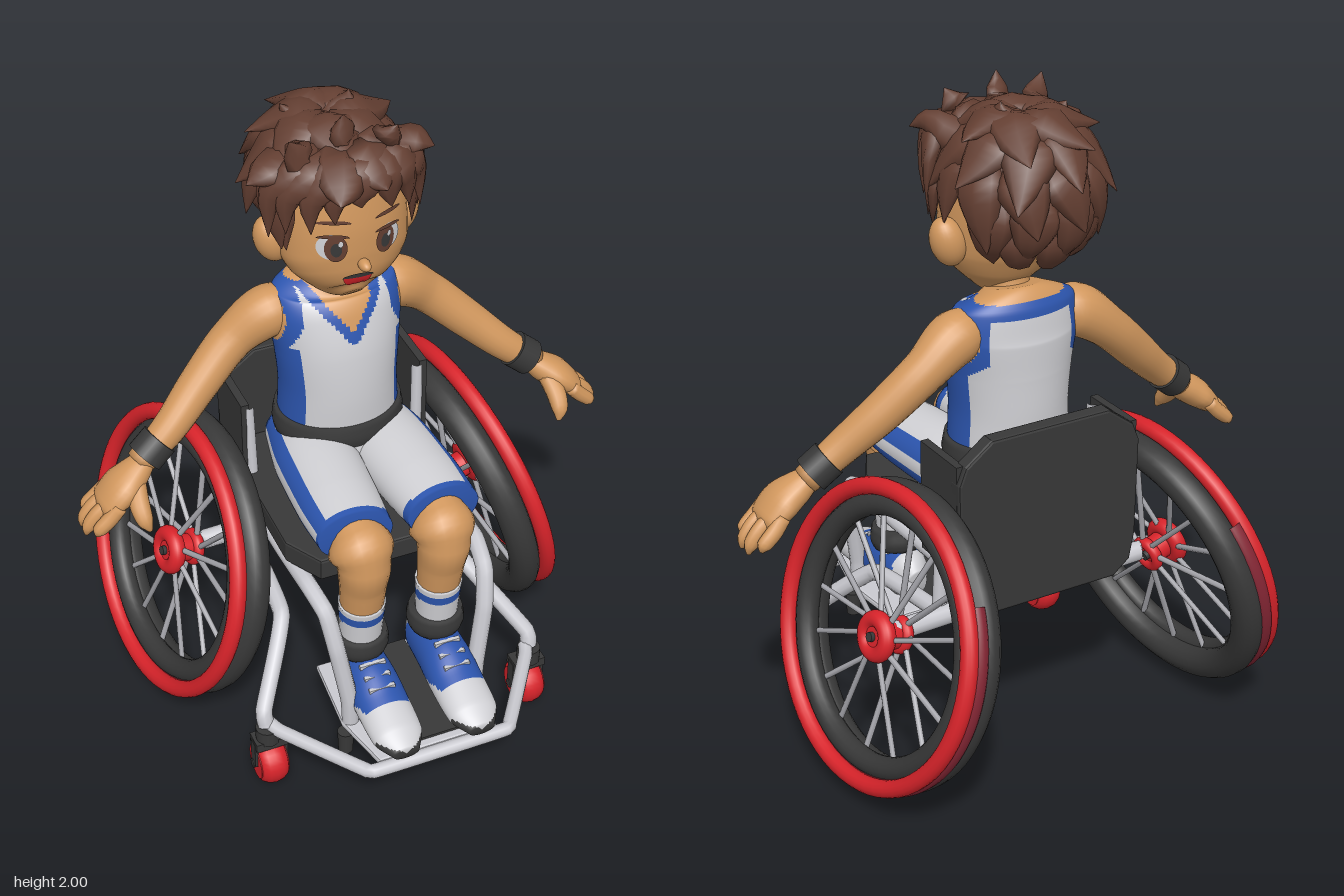
import * as THREE from 'three';

const mat = (name, color) => Object.assign(new THREE.MeshStandardMaterial({ color }), { name });
const V = (x, y, z) => new THREE.Vector3(x, y, z);

export function createModel() {
  const M = {
    skin: mat('skin', 0xd2985e), hair: mat('hair brown', 0x643f32), white: mat('cloth white', 0xd0d0d4),
    blue: mat('trim blue', 0x2c55ae), black: mat('black', 0x383838), red: mat('red', 0xd8232a),
    silver: mat('frame silver', 0xcacad0), spoke: mat('spoke grey', 0xa6a6ac), darkRed: mat('worn red', 0x842634),
  };
  const root = new THREE.Group();
  const add = (name, geo, m, parent = root) => {
    const mesh = new THREE.Mesh(geo, m);
    mesh.name = name;
    parent.add(mesh);
    return mesh;
  };

  // Skin elliptical sections [x, y, z, halfWidth, halfHeight] along a smooth path.
  // paint(point, angle) picks which material of an array each face gets.
  function loft(sec, { ref = V(0, 0, 1), rings = 20, sides = 20, paint, floor = -1 } = {}) {
    const path = new THREE.CatmullRomCurve3(sec.map(s => V(s[0], s[1], s[2])));
    const size = new THREE.CatmullRomCurve3(sec.map(s => V(s[3], s[4] ?? s[3], 0)));
    const pts = [];
    for (let i = 0; i <= rings; i++) {
      const c = path.getPoint(i / rings), t = path.getTangent(i / rings), r = size.getPoint(i / rings);
      const side = t.clone().cross(ref).normalize(), up = side.clone().cross(t);
      for (let j = 0; j < sides; j++) {
        const a = j / sides * Math.PI * 2;
        const p = c.clone().addScaledVector(side, Math.cos(a) * Math.max(r.x, 0)).addScaledVector(up, Math.sin(a) * Math.max(r.y, 0));
        p.y = Math.max(p.y, floor);
        pts.push(p);
      }
    }
    const first = pts.push(path.getPoint(0)) - 1, last = pts.push(path.getPoint(1)) - 1;
    const lists = [[], [], []];
    const face = (j, a, b, c, d) => {
      const mid = pts[b].clone().add(pts[c]).multiplyScalar(.5);
      const list = lists[paint ? paint(mid, (j + .5) / sides * Math.PI * 2) : 0];
      list.push(a, b, c);
      if (d !== undefined) list.push(c, b, d);
    };
    for (let j = 0; j < sides; j++) {
      const k = (j + 1) % sides, e = rings * sides;
      for (let i = 0; i < rings; i++) face(j, i * sides + j, (i + 1) * sides + j, i * sides + k, (i + 1) * sides + k);
      face(j, first, j, k);
      face(j, last, e + k, e + j);
    }
    const g = new THREE.BufferGeometry().setFromPoints(pts);
    g.setIndex(lists.flat());
    if (paint) {
      let start = 0;
      lists.forEach((l, i) => { if (l.length) g.addGroup(start, l.length, i); start += l.length; });
    }
    g.computeVertexNormals();
    return g;
  }
  const tube = (name, pts, r, m = M.silver) => add(name, new THREE.TubeGeometry(
    new THREE.CatmullRomCurve3(pts.map(p => V(...p)), false, 'catmullrom', 0.2), 10 * pts.length, r, 10), m);
  const ball = (name, x, y, z, a, b, c, m) => {
    const o = add(name, new THREE.SphereGeometry(1, 24, 16), m);
    o.position.set(x, y, z);
    o.scale.set(a, b, c);
    return o;
  };
  const box = (name, w, h, d, x, y, z, m) => add(name, new THREE.BoxGeometry(w, h, d).translate(x, y, z), m);

  // Jersey with side panels, armholes and V neck
  const cloth = [M.white, M.blue, M.skin];
  add('jersey', loft([[0, .84, -.12, .18, .15], [0, .95, -.12, .183, .152], [0, 1.07, -.12, .178, .155], [0, 1.2, -.125, .188, .15],
    [0, 1.31, -.14, .2, .135], [0, 1.385, -.15, .185, .108], [0, 1.43, -.14, .08, .075]], {
    rings: 110, sides: 120, paint: (p, a) => {
      const x = Math.abs(p.x), v = p.z > -.13 ? p.y - 1.29 - 1.25 * x : p.y - 1.412;
      if (v > 0) return 2;
      if (v > -.042) return 1;
      const d = Math.hypot(p.y - 1.31, p.z + .15);
      if (x > .13 && d < .11) return d < .075 ? 2 : 1;
      return Math.abs(Math.cos(a)) > (Math.sin(a) > 0 ? .77 : .92) && p.y < 1.24 ? 1 : 0;
    },
  }), cloth);
  add('belt', loft([[0, .9, -.12, .192, .162], [0, .935, -.12, .199, .169], [0, .98, -.12, .192, .162]], { rings: 6, sides: 40 }), M.black);
  add('shortsSeat', loft([[0, .74, -.12, .2, .14], [0, .84, -.11, .215, .16], [0, .93, -.11, .185, .15]], { sides: 32 }), M.white);

  // Legs, arms and their clothes
  for (const s of [-1, 1]) {
    add('shortsLeg', loft([[s * .1, .84, -.2, .1, .09], [s * .115, .85, 0, .125, .1], [s * .13, .85, .2, .122, .092], [s * .137, .85, .34, .112, .078]], {
      ref: V(0, 1, 0), rings: 50, sides: 48, paint: (p, a) => {
        const out = -s * Math.cos(a), h = Math.sin(a);
        return p.z > .315 || (out > 0 && ((h > .28 && h < .75) || (h < -.1 && h > -.5))) ? 1 : 0;
      },
    }), cloth);
    add('leg', loft([[s * .13, .83, .2, .075], [s * .128, .825, .32, .08], [s * .125, .775, .368, .08], [s * .123, .68, .36, .07], [s * .122, .56, .345, .062]],
      { ref: V(1, 0, 0), rings: 28 }), M.skin);
    add('sock', loft([[s * .122, .33, .33, .062], [s * .122, .45, .34, .062], [s * .122, .605, .35, .07]],
      { rings: 44, sides: 24, paint: p => (p.y > .55 && p.y < .58 ? 1 : 0) }), cloth);
    add('ankleStrap', loft([[s * .122, .415, .33, .078], [s * .122, .445, .333, .087], [s * .122, .485, .335, .08]], { rings: 6 }), M.black);
    add('shoe', loft([[s * .12, .32, .22, .035, .05], [s * .12, .335, .28, .068, .085], [s * .12, .335, .4, .076, .085],
      [s * .12, .312, .5, .08, .065], [s * .12, .292, .61, .076, .045], [s * .12, .28, .675, .04, .022]], {
      ref: V(0, 1, 0), rings: 50, sides: 48, floor: .252,
      paint: p => (p.y < .272 || (p.z > .62 && p.y < .3) ? 2 : p.z < .54 && p.z > .27 && p.y > .305 + Math.max(0, p.z - .42) * .3 ? 1 : 0),
    }), [M.white, M.blue, M.black]);
    for (let i = 0; i < 3; i++)
      box('shoelace', .08, .012, .012, s * .12, .411 - i * .017, .425 + i * .035, M.white);

    add('arm', loft([[s * .13, 1.33, -.15, .06], [s * .2, 1.315, -.16, .077], [s * .3, 1.245, -.17, .063], [s * .42, 1.135, -.14, .058],
      [s * .53, 1.035, -.1, .05], [s * .63, .955, -.08, .042]], { rings: 30 }), M.skin);
    const band = add('wristband', new THREE.CylinderGeometry(.056, .056, .068, 24), M.black);
    band.position.set(s * .588, .99, -.087);
    band.quaternion.setFromUnitVectors(V(0, 1, 0), V(s * .77, -.62, .15).normalize());
    add('palm', loft([[s * .61, .965, -.08, .03, .035], [s * .65, .935, -.07, .043, .055], [s * .7, .9, -.06, .045, .075], [s * .745, .86, -.06, .034, .07], [s * .765, .84, -.06, .01, .04]]), M.skin);
    for (let i = 0; i < 4; i++) {
      const z = -.117 + i * .039, k = i === 0 || i === 3 ? .02 : 0;
      add('finger', loft([[s * .72, .88, z, .022], [s * (.772 - k), .845, z * 1.06, .023], [s * (.805 - k), .805 + k * .5, z * 1.08, .021], [s * (.815 - k), .777 + k, z * 1.08, .006]],
        { rings: 10, sides: 10 }), M.skin);
    }
    add('thumb', loft([[s * .655, .92, -.04, .028], [s * .665, .88, .01, .03], [s * .662, .845, .045, .025], [s * .652, .815, .06, .006]],
      { ref: V(1, 0, 0), rings: 10, sides: 12 }), M.skin);
    ball('ear', s * .195, 1.585, -.12, .05, .074, .05, M.skin).rotation.z = -s * .3;
  }

  // Head and face
  add('neck', loft([[0, 1.36, -.14, .075], [0, 1.42, -.115, .062], [0, 1.5, -.1, .065]]), M.skin);
  const head = add('head', loft([[0, 1.42, -.01, .03, .035], [0, 1.442, -.03, .09, .088], [0, 1.5, -.055, .158, .128], [0, 1.56, -.072, .186, .146],
    [0, 1.66, -.09, .186, .163], [0, 1.76, -.11, .172, .17], [0, 1.85, -.12, .1, .1]], { rings: 36, sides: 48 }), M.skin);
  ball('nose', 0, 1.567, .078, .017, .017, .028, M.skin);

  // Thin face details wrapped onto the head
  const ray = new THREE.Raycaster();
  head.updateMatrixWorld();
  const decal = (name, x, y, w, h, m, lift, t0 = 0, t1 = Math.PI * 2) => {
    const g = new THREE.RingGeometry(.001, 1, 28, 4, t0, t1).scale(w, h, 1).translate(x, y, 0), p = g.attributes.position;
    for (let i = 0; i < p.count; i++) {
      ray.set(V(p.getX(i), p.getY(i), 1), V(0, 0, -1));
      const hit = ray.intersectObject(head)[0];
      p.setZ(i, (hit ? hit.point.z : 0) + lift);
    }
    g.computeVertexNormals();
    add(name, g, m);
  };
  for (const s of [-1, 1]) {
    decal('eyeWhite', s * .083 - .005, 1.632, .038, .04, M.white, .003);
    decal('iris', s * .072 - .005, 1.628, .03, .042, M.hair, .005);
    decal('pupil', s * .072 - .005, 1.625, .015, .022, M.black, .007);
    decal('eyeGlint', s * .072 + .006, 1.645, .007, .009, M.white, .009);
    decal('eyelid', s * .079 - .005, 1.662, .042, .012, M.hair, .008, 0, Math.PI);
    decal('eyebrow', s * .08, 1.702, .045, .012, M.hair, .004, 0, Math.PI);
  }
  decal('mouth', -.012, 1.525, .042, .042, M.red, .004, Math.PI, Math.PI);
  decal('upperLip', -.012, 1.522, .045, .015, M.black, .006, 0, Math.PI);

  // Hair: a cap covered with layered pointed locks
  const C = V(-.015, 1.725, -.155), R = V(.188, .2, .2);
  ball('hairCap', C.x, C.y, C.z, R.x, R.y, R.z, M.hair);
  const onCap = (az, el, k) => V(Math.sin(az) * Math.cos(el), Math.sin(el), Math.cos(az) * Math.cos(el)).multiply(R).multiplyScalar(k).add(C);
  const lock = (pts, w, h) => {
    const r = [.5, 1, .68, .02], ref = pts[1].clone().sub(C).normalize();
    add('hairLock', loft(pts.map((p, i) => [p.x, p.y, p.z, w * r[i], h * r[i]]), { ref, rings: 10, sides: 8 }), M.hair);
  };
  const rad = Math.PI / 180;
  // [start elevation, tip elevation, count, width, first azimuth kept, twist, tip reach]
  [[86, 30, 7, .085, 0, 24, 1.4], [62, 4, 9, .082, 50, -15, 1.38], [34, -24, 10, .076, 72, 14, 1.3], [8, -48, 10, .072, 96, -10, 1.2], [-18, -66, 9, .06, 118, 8, 1.1]]
    .forEach(([e0, e1, n, w, keep, twist, reach], layer) => {
      for (let i = 0; i < n; i++) {
        const deg = -180 + 360 * (i + (layer % 2) * .5) / n;
        if (Math.abs(deg) < keep) continue;
        const vary = Math.sin(i * 2.7 + layer) * 7;
        const at = (t, k) => onCap((deg + twist * t) * rad, (e0 + (e1 + vary - e0) * t) * rad, k);
        lock([at(0, .95), at(.35, 1.03), at(.68, 1.13), at(1, reach)], w, .038);
      }
    });
  // Fringe swept from a side parting, sideburns, then tufts standing on the crown
  [[-.24, 1.66, -.02], [-.205, 1.685, .02], [-.15, 1.695, .065], [-.09, 1.725, .09], [-.02, 1.77, .105], [.07, 1.75, .1], [.135, 1.725, .07], [.19, 1.68, .02], [.21, 1.64, -.04]]
    .forEach(([x, y, z]) => lock([V(.03 + x * .3, 1.88, -.06), V(.02 + x * .65, 1.86, z * .55 + .02), V(x * .95, 1.8, z * .9), V(x, y, z)], .058, .036));
  for (const s of [-1, 1])
    lock([V(s * .18, 1.78, -.06), V(s * .192, 1.72, -.04), V(s * .192, 1.66, -.035), V(s * .187, 1.6, -.025)], .045, .02);
  [[-.03, 2, 0], [-.19, 1.965, .02], [.11, 1.96, .04], [.22, 1.87, .04], [-.295, 1.83, -.03], [-.1, 1.82, .155], [.04, 1.83, .14], [.06, 1.97, -.17], [-.13, 1.95, -.2]]
    .forEach(([x, y, z]) => lock([V(x * .3, 1.83, z * .5 - .1), V(x * .5, 1.88 - Math.abs(x) * .15, z * .65 - .07), V(x * .8, Math.min(y + .015, 1.935 - Math.abs(x) * .2), z * .85 - .02), V(x, y, z)], .08, .05));

  // Seat and backrest
  const slab = (name, pts, depth, m) => add(name, new THREE.ExtrudeGeometry(new THREE.Shape(pts.map(p => new THREE.Vector2(...p))),
    { depth, bevelSize: .008, bevelThickness: .008, bevelSegments: 2 }), m);
  slab('seatCushion', [[-.285, -.3], [.285, -.3], [.29, .2], [.23, .31], [-.23, .31], [-.29, .2]], .055, M.black).geometry.rotateX(Math.PI / 2).translate(0, .755, 0);
  slab('backrest', [[-.22, .54], [.22, .54], [.27, .58], [.285, .66], [.29, .96], [.27, 1.01], [.19, 1.07], [-.19, 1.07], [-.27, 1.01], [-.29, .96], [-.285, .66], [-.27, .58]],
    .035, M.black).position.z = -.345;

  // Frame
  tube('axleBar', [[-.45, .49, -.2], [.45, .49, -.23]], .03);
  tube('bumper', [[-.42, .225, .36], [-.4, .22, .4], [-.235, .22, .63], [-.2, .22, .65], [.2, .22, .65], [.235, .22, .63], [.4, .22, .4], [.42, .225, .36]], .022);
  slab('footplate', [[-.2, .21], [.2, .21], [.22, .45], [.18, .63], [-.18, .63], [-.22, .45]], .008, M.silver).geometry.rotateX(Math.PI / 2).translate(0, .232, 0);
  box('footMat', .16, .008, .4, 0, .244, .41, M.black);
  for (const s of [-1, 1]) {
    box('sideGuard', .025, .34, .2, s * .285, .845, -.235, M.black);
    tube('backPost', [[s * .265, .66, -.14], [s * .272, 1, -.15]], .018);
    tube('sideRail', [[s * .27, .66, -.3], [s * .27, .66, .1], [s * .265, .665, .29], [s * .25, .63, .39], [s * .235, .52, .43], [s * .205, .33, .45], [s * .2, .22, .45]], .026);
    tube('casterArm', [[s * .43, .22, .36], [s * .43, .27, .34], [s * .3, .45, .16], [s * .28, .49, -.2]], .026);
    tube('rearStrut', [[s * .27, .66, -.2], [s * .28, .49, -.2]], .022);
    add('stopPeg', new THREE.CylinderGeometry(.025, .022, .075, 14).translate(s * .22, .17, .46), M.black);
    // Caster
    add('casterStem', new THREE.CylinderGeometry(.036, .036, .05, 16).translate(s * .43, .195, .365), M.black);
    box('casterCrown', .1, .03, .06, s * .425, .165, .362, M.black);
    add('casterWheel', new THREE.CylinderGeometry(.052, .052, .088, 28).rotateZ(Math.PI / 2).translate(s * .425, .08, .36), M.red);
    add('casterTread', new THREE.TorusGeometry(.047, .028, 12, 28).rotateY(Math.PI / 2).scale(1.55, 1, 1).translate(s * .425, .08, .36), M.red);
    for (const k of [-1, 1]) box('casterFork', .01, .09, .035, s * .425 + k * .047, .125, .362, M.black);
    add('casterBolt', new THREE.CylinderGeometry(.015, .015, .11, 12).rotateZ(Math.PI / 2).translate(s * .425, .08, .36), M.black);

    // Main wheel: cambered, and both turned slightly the same way
    const wheel = new THREE.Group();
    wheel.name = 'mainWheel';
    wheel.rotation.order = 'YXZ';
    wheel.rotation.set(0, s > 0 ? .105 : .125, s * .26);
    wheel.position.set(s > 0 ? .468 : -.492, .483, s > 0 ? -.228 : -.2);
    root.add(wheel);
    const ring = (name, R0, r, x, m, arc = Math.PI * 2, from = 0) =>
      add(name, new THREE.TorusGeometry(R0, r, 14, 64, arc).rotateZ(from).rotateY(Math.PI / 2).translate(s * x, 0, 0), m, wheel);
    ring('tyre', .402, .048, -.026, M.black);
    ring('innerRim', .375, .034, .012, M.black);
    ring('handRim', .427, .026, .043, M.red);
    // Worn red strip between tyre and hand rim along the lower back
    ring('wornStrip', .424, .03, .012, M.darkRed, 2.9, -2.3);
    add('hub', new THREE.CylinderGeometry(.042, .042, .1, 24).rotateZ(Math.PI / 2), M.red, wheel);
    ring('hubFlange', .05, .026, .035, M.red);
    ring('hubBackFlange', .04, .018, -.045, M.red);
    add('axleCap', new THREE.CylinderGeometry(.014, .014, .125, 16).rotateZ(Math.PI / 2), M.black, wheel);
    for (let i = 0; i < 16; i++) {
      const a = i / 16 * Math.PI * 2, b = a + (i % 2 ? .22 : -.22), x = s * (i % 2 ? .025 : -.045);
      const line = new THREE.LineCurve3(V(x, Math.sin(b) * .05, Math.cos(b) * .05), V(-s * .01, Math.sin(a) * .37, Math.cos(a) * .37));
      add('spoke', new THREE.TubeGeometry(line, 1, .009, 6), M.spoke, wheel);
    }
  }
  return root;
}
